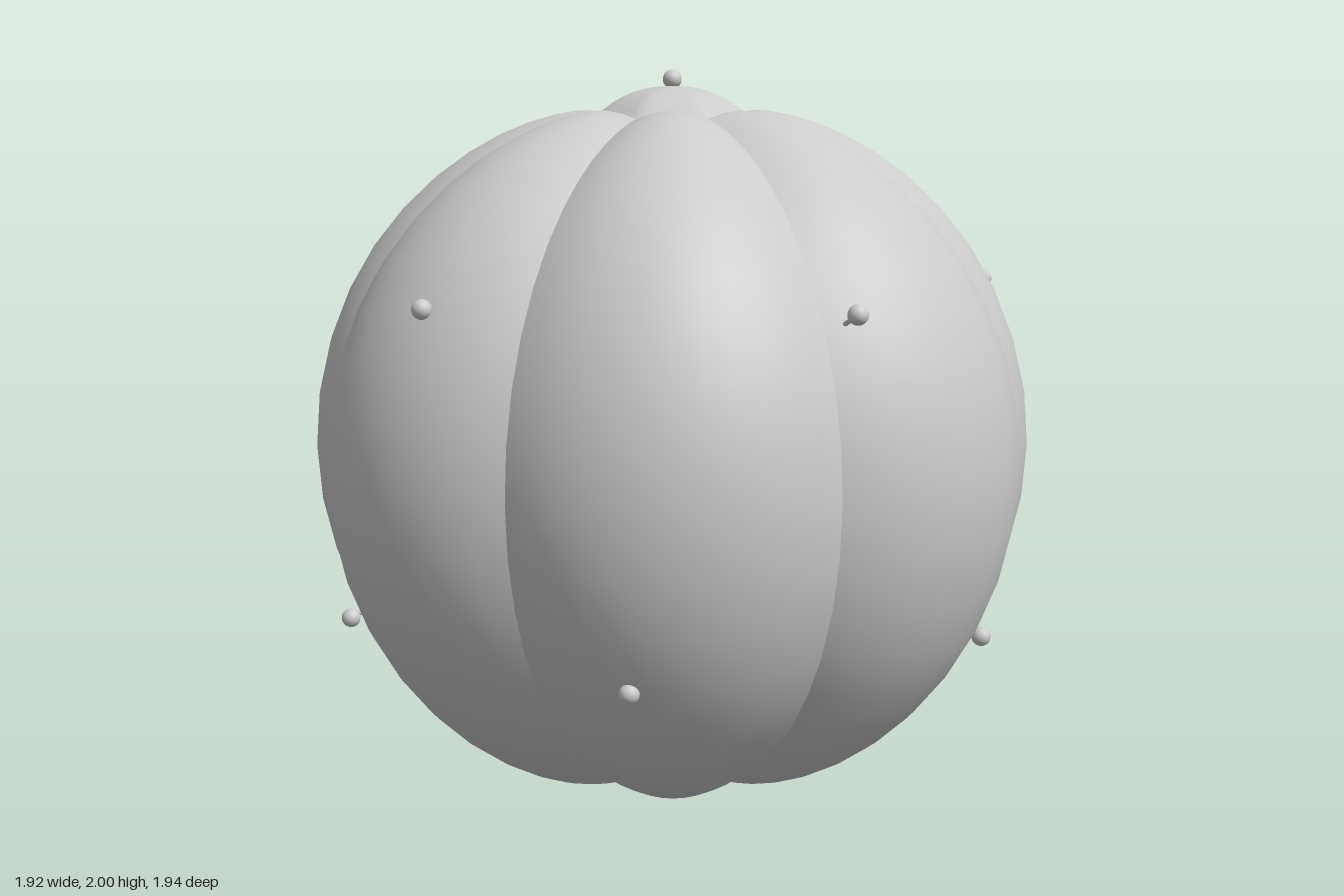
import * as THREE from 'three';
import { mergeVertices } from 'three/addons/utils/BufferGeometryUtils.js';

const LOBES = 7;
const STEP = (Math.PI * 2) / LOBES;
const FIRST_GROOVE = THREE.MathUtils.degToRad(24);
const GROOVE_R = 0.9; // the grooves lie on a sphere of this radius
const CAP_R = 0.21; // corner radius of the seven-sided end caps

// Smooth surface from point(u, v), u and v in 0..1
function grid(nu, nv, point) {
  const pos = [], index = [];
  for (let j = 0; j <= nv; j++)
    for (let i = 0; i <= nu; i++) pos.push(...point(i / nu, j / nv));
  for (let j = 0; j < nv; j++)
    for (let i = 0; i < nu; i++) {
      const a = j * (nu + 1) + i, c = a + nu + 1;
      index.push(a, a + 1, c, a + 1, c + 1, c);
    }
  const raw = new THREE.BufferGeometry();
  raw.setAttribute('position', new THREE.Float32BufferAttribute(pos, 3));
  raw.setIndex(index);
  const geo = mergeVertices(raw, 1e-5);
  geo.computeVertexNormals();
  return geo;
}

// Distance from the axis to the straight cap edge; a is measured from the lobe's ridge
const capEdge = (a) => (CAP_R * Math.cos(STEP / 2)) / Math.cos(a);

// Radius at the equator: a circular arc from groove to groove
function lobeRadius(a) {
  const c = 0.45, r = 0.532;
  return c * Math.cos(a) + Math.sqrt(r * r - (c * Math.sin(a)) ** 2);
}

// One puffed segment; its bulge fades out at both caps
function lobeGeometry() {
  return grid(12, 28, (u, v) => {
    const a = (u - 0.5) * STEP;
    const t = (1 - Math.cos(Math.PI * v)) / 2;
    const end = Math.asin(capEdge(a) / GROOVE_R);
    const polar = end + t * (Math.PI - 2 * end);
    const bulge = Math.pow(Math.max(0, Math.sin(Math.PI * t)), 0.4);
    const d = GROOVE_R + (lobeRadius(a) - GROOVE_R) * bulge;
    const r = d * Math.sin(polar);
    return [r * Math.cos(a), d * Math.cos(polar), r * Math.sin(a)];
  });
}

// Domed seven-sided cap; side is 1 for the top and -1 for the bottom
function capGeometry(side) {
  return grid(LOBES * 6, 8, (u, v) => {
    const k = side > 0 ? v : 1 - v;
    const a = u * Math.PI * 2;
    const edge = capEdge((a % STEP) - STEP / 2);
    const rim = Math.sqrt(GROOVE_R ** 2 - edge ** 2);
    const y = rim + (0.957 - rim) * (1 - Math.pow(k, 2.4));
    const angle = FIRST_GROOVE + a;
    return [k * edge * Math.cos(angle), side * y, k * edge * Math.sin(angle)];
  });
}

export function createModel() {
  const model = new THREE.Group();
  model.name = 'lobedBall';
  const material = new THREE.MeshStandardMaterial({ color: 0xcccccc });
  const body = new THREE.Group();
  body.name = 'body';
  body.position.set(-0.025, 1.0, 0);
  model.add(body);

  const add = (parent, name, geo) => {
    const mesh = new THREE.Mesh(geo, material);
    mesh.name = name;
    parent.add(mesh);
    return mesh;
  };

  // Segments
  const lobe = lobeGeometry();
  for (let i = 0; i < LOBES; i++)
    add(body, 'lobe', lobe).rotation.y = -(FIRST_GROOVE + (i + 0.5) * STEP);

  // End caps
  add(body, 'topCap', capGeometry(1));
  add(body, 'bottomCap', capGeometry(-1));

  // Twelve pins: two poles and two staggered rings of five
  const up = new THREE.Vector3(0, 1, 0);
  const directions = [up.clone(), up.clone().negate()];
  for (let i = 0; i < 5; i++)
    for (const side of [1, -1]) {
      const a = ((i + (side > 0 ? 0 : 0.5)) * Math.PI * 2) / 5;
      directions.push(new THREE.Vector3(2 * Math.cos(a), side, 2 * Math.sin(a)).normalize());
    }
  const head = new THREE.SphereGeometry(0.025, 20, 14);
  const stem = new THREE.CylinderGeometry(0.006, 0.006, 0.13, 8);
  for (const dir of directions) {
    const pin = new THREE.Group();
    pin.name = 'pin';
    pin.quaternion.setFromUnitVectors(up, dir);
    add(pin, 'pinHead', head).position.y = 0.975;
    add(pin, 'pinStem', stem).position.y = 0.91;
    body.add(pin);
  }
  return model;
}
